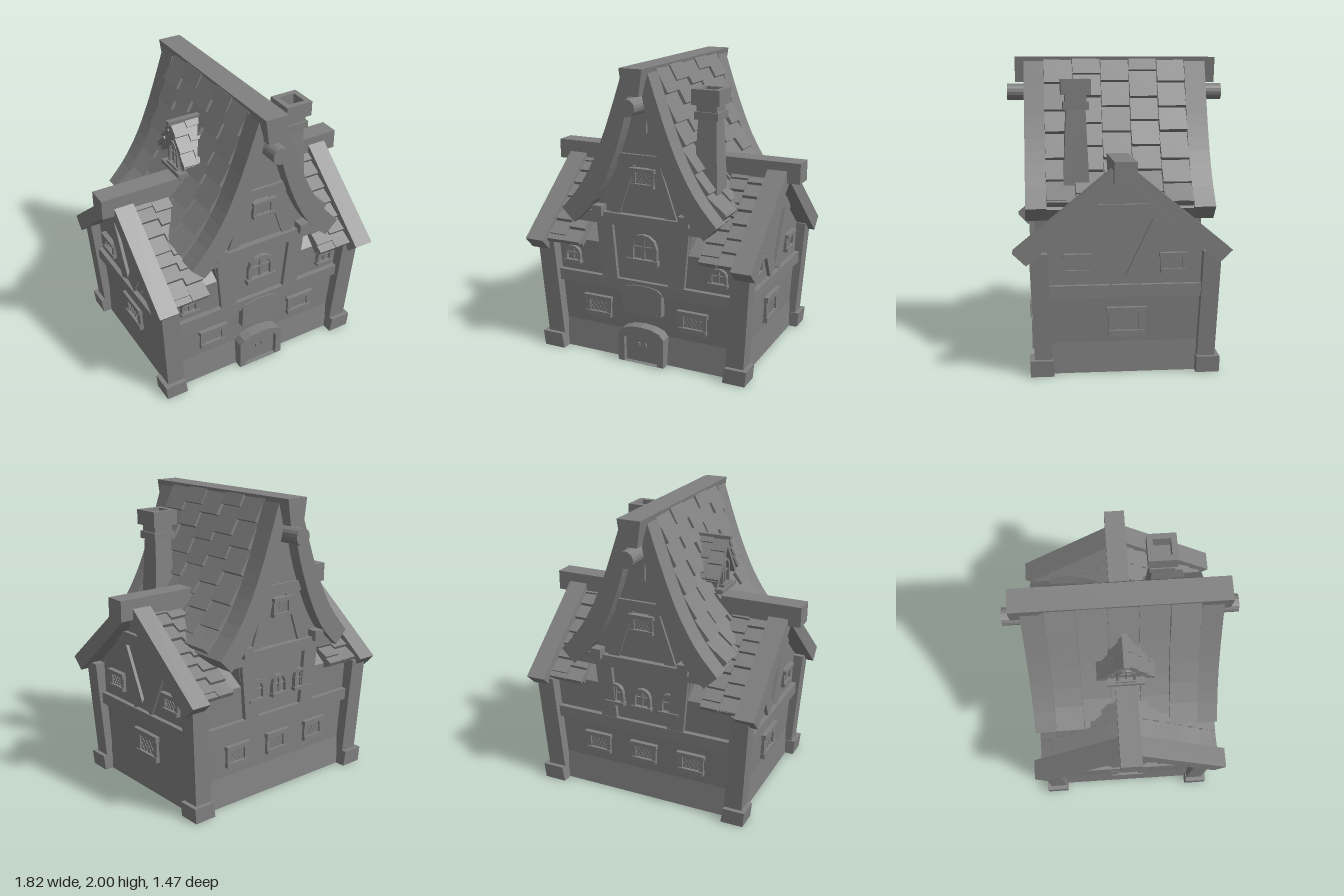
import * as THREE from 'three';

const mat = new THREE.MeshStandardMaterial({ color: 0x808080, flatShading: true, side: THREE.DoubleSide });

let seed = 7;
const rand = () => (seed = (seed * 16807) % 2147483647) / 2147483647 - 0.5;

function add(parent, name, geo, x = 0, y = 0, z = 0) {
  const m = new THREE.Mesh(geo, mat);
  m.name = name;
  m.position.set(x, y, z);
  parent.add(m);
  return m;
}
function group(parent, name, x = 0, y = 0, z = 0, ry = 0) {
  const g = new THREE.Group();
  g.name = name;
  g.position.set(x, y, z);
  g.rotation.y = ry;
  parent.add(g);
  return g;
}
// box given by its limits
const block = (p, name, x0, x1, y0, y1, z0, z1) =>
  add(p, name, new THREE.BoxGeometry(x1 - x0, y1 - y0, z1 - z0), (x0 + x1) / 2, (y0 + y1) / 2, (z0 + z1) / 2);
// box whose bottom and top rectangles [x0, x1, z0, z1] differ
function frustum(p, name, b, t, y0, y1) {
  const g = new THREE.BoxGeometry(2, 2, 2), a = g.attributes.position;
  for (let i = 0; i < a.count; i++) {
    const r = a.getY(i) < 0 ? b : t;
    a.setXYZ(i, a.getX(i) < 0 ? r[0] : r[1], a.getY(i) < 0 ? y0 : y1, a.getZ(i) < 0 ? r[2] : r[3]);
  }
  return add(p, name, g);
}
// open ring of four leaning walls, half sizes [x, z] at bottom and top
function walls(p, name, b, t, y0, y1) {
  const g = new THREE.CylinderGeometry(1, 1, 2, 4, 1, true).rotateY(Math.PI / 4), a = g.attributes.position;
  for (let i = 0; i < a.count; i++) {
    const low = a.getY(i) < 0, r = low ? b : t;
    a.setXYZ(i, Math.sign(a.getX(i)) * r[0], low ? y0 : y1, Math.sign(a.getZ(i)) * r[1]);
  }
  return add(p, name, g);
}
// flat beam between two points of a wall plane
function beam(p, name, x0, y0, x1, y1, w, z, d = 0.05) {
  const m = add(p, name, new THREE.BoxGeometry(Math.hypot(x1 - x0, y1 - y0), w, d), (x0 + x1) / 2, (y0 + y1) / 2, z - d / 2);
  m.rotation.z = Math.atan2(y1 - y0, x1 - x0);
}
const shape = pts => new THREE.Shape(pts.map(q => new THREE.Vector2(...q)));
function extrude(p, name, s, z0, z1) {
  const g = new THREE.ExtrudeGeometry(s, { depth: z1 - z0, bevelEnabled: false, curveSegments: 6 });
  return add(p, name, g, 0, 0, z0);
}
// extruded body left open at its flat underside
function openBody(p, name, s, z0, z1, floor) {
  const mesh = extrude(p, name, s, z0, z1), a = mesh.geometry.attributes.position, kept = [];
  for (let i = 0; i < a.count; i += 3) {
    if ([0, 1, 2].some(k => a.getY(i + k) > floor + 0.001)) kept.push(i, i + 1, i + 2);
  }
  mesh.geometry.setIndex(kept);
}
const mirror = pts => [...pts, ...pts.map(([x, y]) => [-x, y]).reverse()];
const chevron = (top, eave, under, peak) =>
  shape([top, eave, under, peak, [-under[0], under[1]], [-eave[0], eave[1]]]);
const smooth = pts => new THREE.SplineCurve(pts.map(q => new THREE.Vector2(...q)));
const sample = pts => smooth(pts).getPoints(12).map(v => [v.x, v.y]);
const span = (s, a, b) => s > 0 ? [a, b] : [-b, -a];
// outline with straight sides and an arched top
function arch(w, y0, spring, top) {
  const s = new THREE.Shape();
  s.moveTo(-w, y0);
  s.lineTo(w, y0);
  s.lineTo(w, spring);
  s.bezierCurveTo(w * 0.9, top + (top - spring) * 0.25, -w * 0.9, top + (top - spring) * 0.25, -w, spring);
  return s;
}

// shingles laid down a profile curve, columns along z
function shingles(p, name, curve, zs, w, rows, thick) {
  const len = curve.getLength(), step = len / rows;
  zs.forEach((z, c) => {
    for (let r = 0; r <= rows; r++) {
      const end = Math.min(len, (r + (c % 2 ? 0.55 : 1)) * step + rand() * step * 0.2);
      const start = Math.max(0, end - step * 1.25);
      if (end - start < step * 0.3) continue;
      const a = curve.getPointAt(start / len), b = curve.getPointAt(end / len), L = a.distanceTo(b);
      const m = add(p, name, new THREE.BoxGeometry(L, thick, w * 0.97), (a.x + b.x) / 2, (a.y + b.y) / 2 + thick * 0.5, z);
      m.rotation.z = Math.atan2(b.y - a.y, b.x - a.x) + thick / step * 0.75 + rand() * 0.06;
      m.rotation.y = rand() * 0.05;
    }
  });
}

// latticed window with lintel and sill, facing +z
function squareWindow(p, x, y, z, w, h) {
  const g = group(p, 'window', x, y, z), a = w / 2, b = h / 2, f = w * 0.15;
  block(g, 'windowPane', -a + f, a - f, -b, b, -0.012, 0.006);
  for (const s of [-1, 1]) block(g, 'windowJamb', s * (a - f * 0.8) - f / 2, s * (a - f * 0.8) + f / 2, -b, b, -0.012, 0.02);
  block(g, 'windowLintel', -a, a, b - f, b, -0.012, 0.034);
  block(g, 'windowSill', -a * 0.92, a * 0.92, -b, -b + f, -0.012, 0.028);
  const n = 4, cw = (w - 2.6 * f) / n, ch = (h - 2 * f) / 2;
  for (let i = 0; i < n * 2; i++) for (const s of [-1, 1]) {
    const cx = (i % n - (n - 1) / 2) * cw, cy = (i < n ? -0.5 : 0.5) * ch;
    beam(g, 'lattice', cx - cw / 2, cy - s * ch / 2, cx + cw / 2, cy + s * ch / 2, 0.004, 0.01, 0.006);
  }
}
// arched window with glazing bars, facing +z
function archWindow(p, x, y, z, w, h) {
  const g = group(p, 'archedWindow', x, y, z), a = w / 2, f = w * 0.13;
  const frame = arch(a * 0.9, 0, h * 0.55, h);
  frame.holes.push(arch(a * 0.9 - f, f, h * 0.55, h - f));
  extrude(g, 'windowFrame', frame, -0.012, 0.025);
  extrude(g, 'windowPane', arch(a * 0.8, 0.005, h * 0.55, h - f * 0.5), -0.012, 0.004);
  block(g, 'glazingBar', -f * 0.3, f * 0.3, f, h - f, 0, 0.016);
  block(g, 'glazingBar', -a * 0.8, a * 0.8, h * 0.5, h * 0.5 + f * 0.4, 0, 0.016);
  block(g, 'windowSill', -a, a, -f * 0.2, f, -0.012, 0.036);
}

export function createModel() {
  const house = new THREE.Group();
  house.name = 'cottage';

  // ground floor, open underneath
  walls(house, 'stoneBase', [0.695, 0.528], [0.687, 0.507], 0, 0.2);
  walls(house, 'lowerWall', [0.687, 0.507], [0.705, 0.52], 0.2, 0.58);
  for (const sx of [-1, 1]) for (const sz of [-1, 1]) {
    const r = (a, b, c, d) => [...span(sx, a, b), ...span(sz, c, d)];
    frustum(house, 'cornerFoot', r(0.6, 0.755, 0.45, 0.6), r(0.615, 0.765, 0.455, 0.603), 0, 0.105);
    frustum(house, 'cornerPost', r(0.61, 0.735, 0.46, 0.573), r(0.655, 0.778, 0.49, 0.602), 0.1, 0.79);
  }

  // cross wing: profile in its own x, running along its z
  const wing = group(house, 'crossWing', 0, 0, 0.02, -Math.PI / 2);
  openBody(wing, 'wingBody', shape([[-0.54, 0.57], [0.5, 0.57], [0.505, 0.8], [0, 1.245], [-0.545, 0.8]]), -0.708, 0.708, 0.57);
  const deck = chevron([0, 1.275], [0.572, 0.794], [0.545, 0.765], [0, 1.2]);
  extrude(wing, 'wingBargeBoard', chevron([0, 1.342], [0.663, 0.803], [0.585, 0.722], [0, 1.22]), 0.69, 0.825);
  extrude(wing, 'wingBargeBoard', chevron([0, 1.368], [0.683, 0.807], [0.6, 0.728], [0, 1.235]), -0.82, -0.685);
  for (const s of [-1, 1]) extrude(wing, 'wingRoofDeck', deck, ...span(s, 0.44, 0.69));
  const wingLine = new THREE.LineCurve(new THREE.Vector2(0.03, 1.253), new THREE.Vector2(0.597, 0.772));
  for (const ry of [0, Math.PI])
    shingles(group(wing, 'wingShingles', 0, 0, 0, ry), 'shingle', wingLine, [-0.627, -0.5, 0.5, 0.627], 0.127, 7, 0.03);
  block(house, 'wingRidgeBeam', -0.91, 0.91, 1.235, 1.372, -0.055, 0.085);

  // tall main gable with concave roof
  const outer = [[0.09, 1.97], [0.165, 1.75], [0.235, 1.56], [0.32, 1.37], [0.43, 1.19], [0.56, 1.04]];
  const inner = [[0.47, 0.95], [0.34, 1.08], [0.235, 1.25], [0.15, 1.45], [0.085, 1.65], [0.05, 1.83]];
  openBody(house, 'mainBody', shape(mirror([[0.295, 0.57], [0.345, 0.97], [0.46, 0.97], ...sample(inner)])), -0.525, 0.525, 0.57);
  const inset = outer.map(([x, y]) => [x - 0.02, y - 0.01]);
  const halfRoof = shape([...sample(outer), ...sample(inner)]);
  const halfDeck = shape([...sample(inset), ...sample(inner)]);
  for (const s of [1, -1]) {
    const half = group(house, 'mainRoofHalf', 0, 0, 0, s > 0 ? 0 : Math.PI);
    extrude(half, 'mainBargeBoard', halfRoof, ...span(s, 0.487, 0.622));
    extrude(half, 'mainBargeBoard', halfRoof, ...span(s, -0.608, -0.467));
    extrude(half, 'mainRoofDeck', halfDeck, -0.49, 0.49);
    shingles(half, 'shingle', smooth(inset), [-2, -1, 0, 1, 2].map(i => i * 0.191 + s * 0.012), 0.191, 6, 0.042);
  }
  frustum(house, 'mainRidgeBeam', [-0.055, 0.055, -0.68, 0.68], [-0.08, 0.08, -0.68, 0.68], 1.83, 2);
  add(house, 'ridgeLog', new THREE.CylinderGeometry(0.056, 0.056, 1.47, 16).rotateX(Math.PI / 2), 0, 1.765, 0);

  // timber framing shared by front and back
  const [front, back] = [0, Math.PI].map(ry => {
    const g = group(house, ry ? 'backWall' : 'frontWall', 0, 0, 0, ry);
    block(g, 'floorBeam', -0.67, 0.67, 0.495, 0.575, 0.51, 0.555);
    block(g, 'gableBeam', -0.46, 0.46, 0.95, 1.03, 0.51, 0.565);
    beam(g, 'collarBeam', -0.2, 1.4, 0.2, 1.4, 0.07, 0.545);
    beam(g, 'kingPost', 0, 1.58, 0, 1.75, 0.07, 0.545);
    for (const s of [-1, 1]) {
      beam(g, 'bayPost', s * 0.245, 0.57, s * 0.28, 0.96, 0.115, 0.553);
      beam(g, 'gableBrace', s * 0.21, 1.02, s * 0.09, 1.37, 0.075, 0.542);
      block(g, 'bracket', s * 0.315 - 0.037, s * 0.315 + 0.037, 1.005, 1.075, 0.51, 0.595);
    }
    squareWindow(g, 0.01, 1.285, 0.535, 0.175, 0.13);
    return g;
  });

  // front openings
  for (const s of [-1, 1]) {
    squareWindow(front, s * 0.355, 0.34, 0.511, 0.215, 0.15);
    archWindow(front, s * 0.54, 0.635, 0.525, 0.135, 0.12);
  }
  archWindow(front, 0.005, 0.705, 0.528, 0.225, 0.205);
  extrude(front, 'hoodPanel', arch(0.143, 0.35, 0.515, 0.555), 0.51, 0.565);
  const surround = arch(0.17, 0, 0.2, 0.27);
  surround.holes.push(arch(0.125, 0.001, 0.175, 0.235));
  extrude(front, 'doorSurround', surround, 0.5, 0.588);
  extrude(front, 'door', arch(0.13, 0, 0.175, 0.24), 0.5, 0.555);
  for (const x of [-0.025, 0.025]) block(front, 'doorHandle', x - 0.006, x + 0.006, 0.115, 0.14, 0.55, 0.568);

  // back openings
  for (const i of [-1, 0, 1]) {
    squareWindow(back, i * 0.35, 0.34, 0.511, 0.2, 0.15);
    archWindow(back, i * 0.2, 0.68, 0.528, 0.145, 0.15);
  }

  // side gables
  for (const s of [-1, 1]) {
    const g = group(house, s > 0 ? 'leftWall' : 'rightWall', 0, 0, 0, s * Math.PI / 2);
    block(g, 'floorBeam', -0.5, 0.5, 0.5, 0.58, 0.69, 0.74);
    block(g, 'collarBeam', -0.27, 0.27, 1.005, 1.09, 0.69, 0.735);
    for (const k of [-1, 1]) {
      beam(g, 'gableBrace', k * 0.245, 1.02, k * 0.045, 0.6, 0.11, 0.73);
      squareWindow(g, k * 0.305, 0.715, 0.71, 0.18, 0.13);
    }
    squareWindow(g, 0.01, 0.335, 0.694, 0.255, 0.19);
  }

  // chimney with a hollow cap
  const chimney = group(house, 'chimney', 0.37, 0, 0.29);
  const square = a => [-a, a, -a, a];
  frustum(chimney, 'chimneyShaft', square(0.09), square(0.062), 1.05, 1.67);
  block(chimney, 'chimneyBand', -0.083, 0.083, 1.66, 1.71, -0.083, 0.083);
  block(chimney, 'chimneyNeck', -0.07, 0.07, 1.7, 1.765, -0.07, 0.07);
  const cap = shape([[-0.096, -0.096], [0.096, -0.096], [0.096, 0.096], [-0.096, 0.096]]);
  cap.holes.push(shape([[-0.058, -0.058], [-0.058, 0.058], [0.058, 0.058], [0.058, -0.058]]));
  const rim = extrude(chimney, 'chimneyCap', cap, 0, 0.1);
  rim.rotation.x = -Math.PI / 2;
  rim.position.set(0, 1.755, 0);

  // dormer, its face turned to the side
  const dormer = group(house, 'dormer', 0, 0, 0.015, -Math.PI / 2);
  extrude(dormer, 'dormerBody', shape([[-0.1, 1.38], [0.1, 1.38], [0.1, 1.58], [0, 1.72], [-0.1, 1.58]]), 0.1, 0.335);
  extrude(dormer, 'dormerRoofDeck', chevron([0, 1.745], [0.165, 1.495], [0.14, 1.48], [0, 1.69]), 0.1, 0.365);
  const dormerLine = new THREE.LineCurve(new THREE.Vector2(0.005, 1.745), new THREE.Vector2(0.172, 1.495));
  for (const s of [1, -1]) {
    const half = group(dormer, 'dormerShingles', 0, 0, 0, s > 0 ? 0 : Math.PI);
    shingles(half, 'shingle', dormerLine, [0.325, 0.225, 0.125].map(z => s * z), 0.1, 3, 0.022);
  }
  block(dormer, 'dormerRidge', -0.018, 0.018, 1.745, 1.77, 0.12, 0.39);
  archWindow(dormer, 0, 1.43, 0.335, 0.14, 0.19);
  block(dormer, 'dormerSill', -0.12, 0.12, 1.4, 1.43, 0.3, 0.382);

  return house;
}
